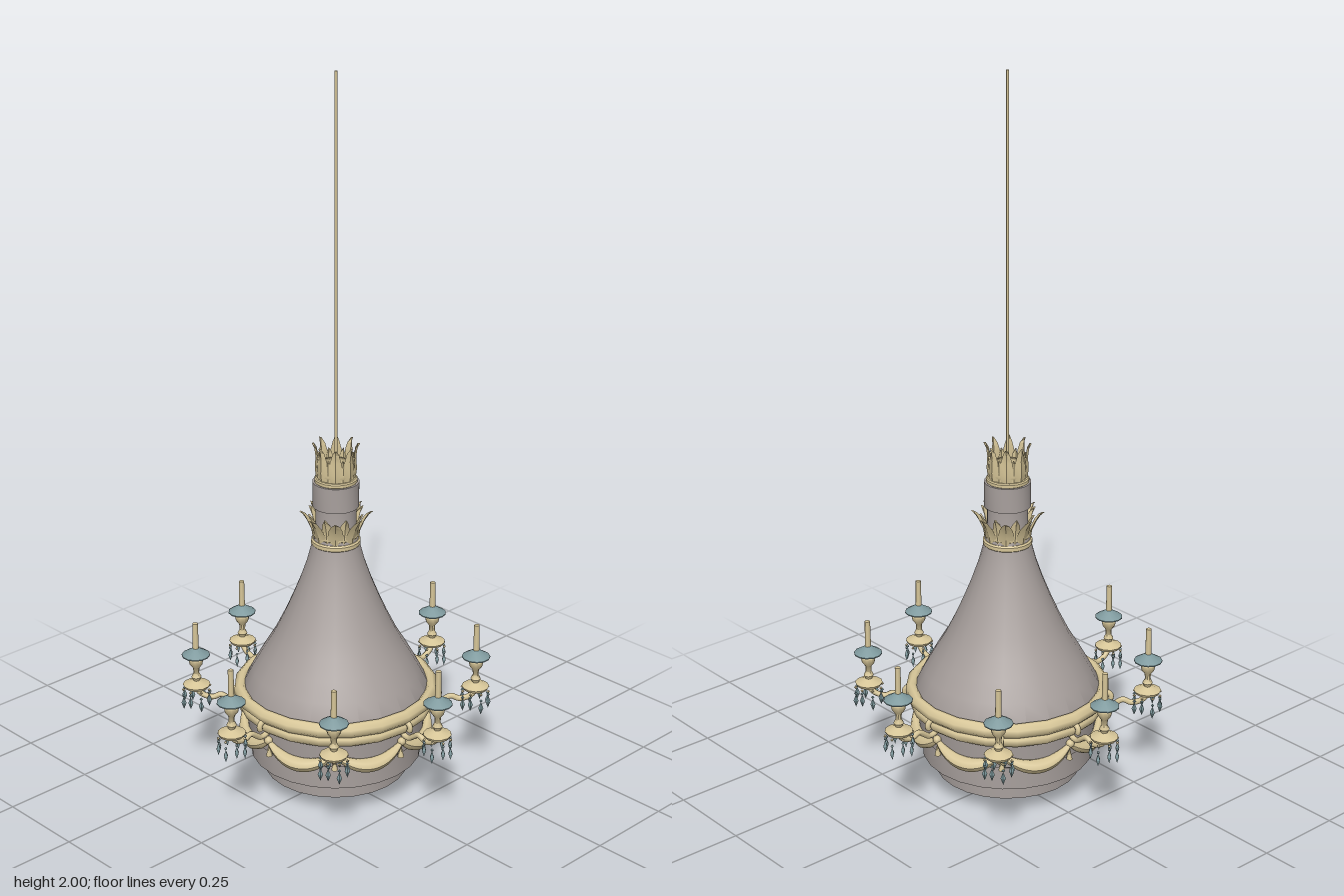
import * as THREE from 'three';
import { toCreasedNormals } from 'three/addons/utils/BufferGeometryUtils.js';

const material = (name, color, side = THREE.FrontSide) => {
  const m = new THREE.MeshStandardMaterial({ color, side });
  m.name = name;
  return m;
};
const V = (x, y, z = 0) => new THREE.Vector3(x, y, z);

export function createModel() {
  const gold = material('pale gold', 0xd8c799, THREE.DoubleSide);
  const grey = material('warm grey', 0xa8a09d, THREE.DoubleSide);
  const glass = material('blue grey glass', 0x7f9a9e, THREE.DoubleSide);
  const root = new THREE.Group();
  root.name = 'chandelier';

  const add = (parent, name, geometry, mat, x = 0, y = 0, z = 0) => {
    const mesh = new THREE.Mesh(geometry, mat);
    mesh.name = name;
    mesh.position.set(x, y, z);
    parent.add(mesh);
    return mesh;
  };
  const lathe = (points, segments, crease = 0.6) => toCreasedNormals(
    new THREE.LatheGeometry(points.map(p => new THREE.Vector2(...p)), segments), crease);
  // Repeats a part around the vertical axis
  const around = (name, count, build) => {
    for (let i = 0; i < count; i++) {
      const g = new THREE.Group();
      g.name = name;
      g.rotation.y = i * Math.PI * 2 / count;
      build(g);
      root.add(g);
    }
  };
  // Creased leaf along +x from [radius, height, half width] sections
  const leaf = sections => {
    const pos = [], index = [];
    sections.forEach(([r, y, w], i) => {
      pos.push(r - 0.006, y, w, r, y, 0, r - 0.006, y, -w);
      if (i) for (let k = 0; k < 2; k++) {
        const a = (i - 1) * 3 + k, b = a + 3;
        index.push(a, b, a + 1, a + 1, b, b + 1);
      }
    });
    const g = new THREE.BufferGeometry();
    g.setAttribute('position', new THREE.Float32BufferAttribute(pos, 3));
    g.setIndex(index);
    return toCreasedNormals(g, 0.4);
  };

  // Hollow body, open at the bottom
  add(root, 'bodyShell', lathe([
    [0.2, 0.05], [0.2, 0.1], [0.237, 0.1], [0.237, 0.165], [0.245, 0.17], [0.25, 0.25],
    [0.254, 0.3], [0.228, 0.35], [0.2, 0.4], [0.17, 0.45], [0.143, 0.505], [0.119, 0.56],
    [0.097, 0.615], [0.078, 0.67], [0.062, 0.73], [0.055, 0.78], [0.055, 0.83],
  ], 24), grey);
  add(root, 'neck', lathe([
    [0.05, 0.825], [0.063, 0.83], [0.063, 0.9], [0.048, 0.9],
  ], 20), grey);

  // Rounded gold rim and the moulding below it
  const closedRing = (r0, r1, y0, y1, b, crease = 0.5) => lathe([
    [r0 + b, y0], [r1 - b, y0], [r1, y0 + b], [r1, y1 - b], [r1 - b, y1],
    [r0 + b, y1], [r0, y1 - b], [r0, y0 + b], [r0 + b, y0],
  ], 20, crease);
  add(root, 'rimRing', closedRing(0.247, 0.281, 0.271, 0.31, 0.012, 1), gold);
  add(root, 'rimMoulding', closedRing(0.238, 0.27, 0.241, 0.272, 0.008, 1), gold);

  // Leaf collar at the foot of the neck
  add(root, 'collarRing', closedRing(0.052, 0.067, 0.718, 0.736, 0.004), gold);
  add(root, 'collarBand', closedRing(0.05, 0.062, 0.742, 0.775, 0.004), gold);
  const bigLeaf = leaf([[0.062, 0.735, 0.014], [0.066, 0.76, 0.022], [0.077, 0.785, 0.018], [0.088, 0.802, 0.01], [0.099, 0.812, 0.001]]);
  const smallLeaf = leaf([[0.061, 0.74, 0.012], [0.064, 0.772, 0.016], [0.07, 0.795, 0.012], [0.08, 0.815, 0.001]]);
  around('collarLeaves', 8, g => {
    add(g, 'largeCollarLeaf', bigLeaf, gold);
    add(g, 'smallCollarLeaf', smallLeaf, gold).rotation.y = Math.PI / 8;
  });

  // Crown on top, with crossed bars carrying the rod
  add(root, 'crownBase', closedRing(0.037, 0.058, 0.898, 0.912, 0.003), gold);
  add(root, 'crownBowl', lathe([[0.046, 0.91], [0.053, 0.925], [0.052, 0.94], [0.046, 0.95], [0.036, 0.953]], 16, 0.9), gold);
  const crownLeaf = leaf([[0.052, 0.905, 0.012], [0.056, 0.935, 0.019], [0.054, 0.97, 0.015], [0.057, 0.993, 0.009], [0.064, 1.008, 0.002]]);
  const crownShortLeaf = leaf([[0.051, 0.905, 0.012], [0.053, 0.935, 0.013], [0.052, 0.96, 0.008], [0.055, 0.975, 0.001]]);
  around('crownLeaves', 8, g => {
    add(g, 'tallCrownLeaf', crownLeaf, gold);
    add(g, 'shortCrownLeaf', crownShortLeaf, gold).rotation.y = Math.PI / 8;
  });
  const bar = new THREE.CylinderGeometry(0.003, 0.003, 0.09, 6);
  add(root, 'crossBarX', bar, gold, 0, 0.93).rotation.z = Math.PI / 2;
  add(root, 'crossBarZ', bar, gold, 0, 0.93).rotation.x = Math.PI / 2;

  // Rod and bottom ball
  add(root, 'hangingRod', new THREE.CylinderGeometry(0.004, 0.004, 1.95, 6), gold, 0, 1.025);
  add(root, 'bottomBall', new THREE.SphereGeometry(0.028, 16, 12), gold, 0, 0.032);
  add(root, 'ballTip', new THREE.ConeGeometry(0.008, 0.012, 8), gold, 0, 0.006).rotation.x = Math.PI;
  add(root, 'ballCap', new THREE.CylinderGeometry(0.007, 0.014, 0.016, 10), gold, 0, 0.062);

  // Swags that hang between neighbouring arms, thicker in the middle
  const swagPath = new THREE.CatmullRomCurve3(Array.from({ length: 9 }, (_, i) => {
    const t = i / 8, a = t * Math.PI / 4, sag = 1 - (2 * t - 1) ** 2;
    return V(0.254 * Math.cos(a), 0.212 - 0.039 * sag, -0.254 * Math.sin(a));
  }));
  const swagGeometry = new THREE.TubeGeometry(swagPath, 16, 0.02, 8);
  const p = swagGeometry.attributes.position;
  for (let i = 0; i < p.count; i++) {
    const t = Math.floor(i / 9) / 16, c = swagPath.getPointAt(t);
    const v = V(0, 0).fromBufferAttribute(p, i).sub(c).multiplyScalar(0.3 + 0.7 * Math.sin(Math.PI * t)).add(c);
    p.setXYZ(i, v.x, v.y, v.z);
  }
  swagGeometry.computeVertexNormals();
  around('swag', 8, g => {
    add(g, 'swagGarland', swagGeometry, gold);
    add(g, 'swagKnot', new THREE.SphereGeometry(0.012, 8, 6), gold, 0.254, 0.214);
    add(g, 'swagDrop', new THREE.ConeGeometry(0.009, 0.04, 6), gold, 0.252, 0.186);
  });

  // Arm curve: scroll by the rim, then a dip and a rise to the candle
  const armPoints = [];
  for (let i = 0; i <= 10; i++) {
    const a = -0.5 + i * 0.62, r = 0.012 + 0.0018 * i;
    armPoints.push(V(0.272 + r * Math.cos(a), 0.262 + r * Math.sin(a)));
  }
  armPoints.push(V(0.318, 0.258), V(0.34, 0.25), V(0.365, 0.256), V(0.381, 0.27), V(0.385, 0.29));
  const armGeometry = new THREE.TubeGeometry(new THREE.CatmullRomCurve3(armPoints), 48, 0.008, 7);

  const lampStem = lathe([
    [0, 0.268], [0.012, 0.275], [0.012, 0.288], [0.008, 0.3], [0.014, 0.312], [0.008, 0.324],
    [0.009, 0.34], [0.018, 0.352], [0.021, 0.366], [0.017, 0.378], [0.01, 0.385], [0.009, 0.396],
  ], 10, 0.8);
  const dripPan = lathe([[0.01, 0.278], [0.034, 0.282], [0.038, 0.29], [0.03, 0.292], [0.008, 0.302]], 12);
  // Sloping glass dish
  const glassDish = lathe([[0.012, 0.378], [0.039, 0.378], [0.039, 0.381], [0.008, 0.4]], 12);
  const candle = new THREE.CylinderGeometry(0.0075, 0.0085, 0.082, 8);
  const bead = new THREE.OctahedronGeometry(0.005);
  const drop = new THREE.OctahedronGeometry(1).scale(0.007, 0.019, 0.007);

  around('candleArm', 8, g => {
    add(g, 'scrollArm', armGeometry, gold);
    const lamp = new THREE.Group();
    lamp.name = 'candleHolder';
    lamp.position.x = 0.385;
    g.add(lamp);
    add(lamp, 'holderStem', lampStem, gold);
    add(lamp, 'dripPan', dripPan, gold);
    add(lamp, 'glassDish', glassDish, glass);
    add(lamp, 'candle', candle, gold, 0, 0.434);
    for (let k = 0; k < 8; k++) {
      const a = (k + 0.5) * Math.PI / 4, x = 0.038 * Math.cos(a), z = 0.038 * Math.sin(a);
      const low = (k % 2) * 0.01;
      add(lamp, 'crystalBead', bead, gold, x, 0.279, z);
      add(lamp, 'crystalLink', bead, glass, x, 0.27 - low, z);
      add(lamp, 'crystalDrop', drop, glass, x, 0.248 - low, z);
    }
  });

  return root;
}
